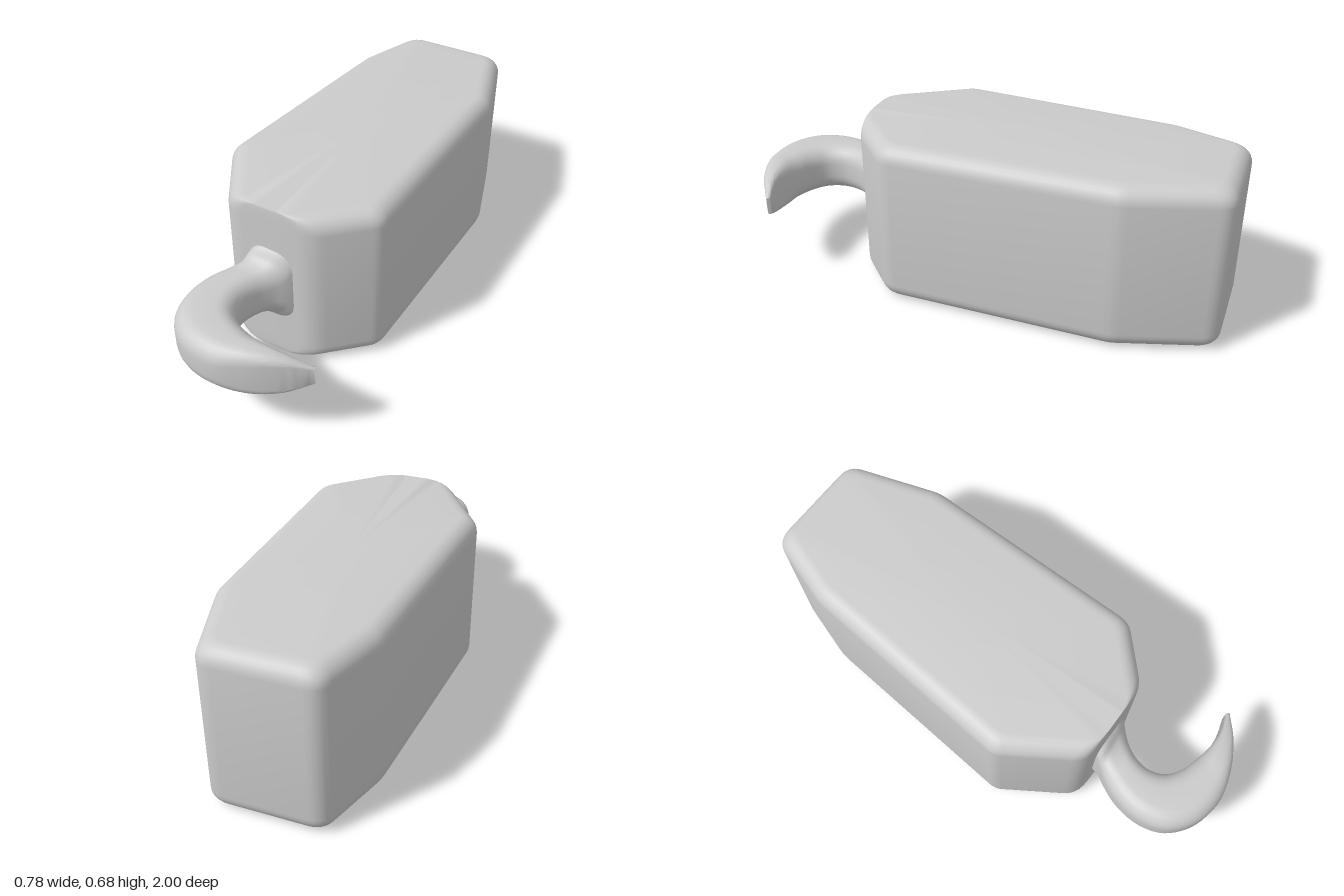
import * as THREE from 'three';
import { toCreasedNormals } from 'three/addons/utils/BufferGeometryUtils.js';

const material = new THREE.MeshStandardMaterial({ color: 0xcccccc });

// Skin a stack of equal-length rings and close both ends
function loft(name, rings, crease) {
  const n = rings[0].length, last = (rings.length - 1) * n, index = [];
  const points = rings.flat();
  const centre = ring => ring.reduce((s, p) => s.add(p), new THREE.Vector3()).divideScalar(n);
  const start = points.push(centre(rings[0])) - 1;
  const end = points.push(centre(rings[rings.length - 1])) - 1;
  for (let j = 0; j < n; j++) {
    const k = (j + 1) % n;
    for (let r = 0; r < last; r += n) {
      index.push(r + j, r + n + k, r + k, r + j, r + n + j, r + n + k);
    }
    index.push(start, j, k, end, last + k, last + j);
  }
  const geometry = new THREE.BufferGeometry().setFromPoints(points);
  geometry.setIndex(index);
  const mesh = new THREE.Mesh(toCreasedNormals(geometry, crease), material);
  mesh.name = name;
  return mesh;
}

// Body outline seen from above, as [x, z]
const outline = [
  [-0.155, -1.003], [0.285, -0.98], [0.39, -0.59], [0.336, 0.345],
  [0.13, 0.524], [-0.22, 0.506], [-0.395, 0.205], [-0.272, -0.7],
].map(([x, z]) => new THREE.Vector2(x, z));
const cornerLength = [0.06, 0.06, 0.03, 0.04, 0.06, 0.06, 0.03, 0.03];
const FRONT_EDGE = 4;

// Outline moved inwards on every edge but the front, with softened corners
function bodyRing(inset, y) {
  const n = outline.length, ring = [];
  const dirs = outline.map((p, i) => outline[(i + 1) % n].clone().sub(p).normalize());
  const insets = outline.map((_, i) => (i === FRONT_EDGE ? 0 : inset));
  outline.forEach((p, i) => {
    const h = (i + n - 1) % n, a = dirs[h], b = dirs[i];
    const det = a.x * b.y - a.y * b.x;
    const corner = p.clone()
      .addScaledVector(b, -insets[h] / det)
      .addScaledVector(a, insets[i] / det);
    // Moving along one edge changes only the distance to the other edge
    corner.copy(p).addScaledVector(b, insets[h] / det).addScaledVector(a, -insets[i] / det);
    const t = cornerLength[i] * (1 - 4 * inset);
    const curve = new THREE.QuadraticBezierCurve(
      corner.clone().addScaledVector(a, -t), corner, corner.clone().addScaledVector(b, t));
    curve.getPoints(6).forEach(q => ring.push(new THREE.Vector3(q.x, y, q.y)));
  });
  return ring;
}

function createBody() {
  const height = 0.684, radius = 0.07, steps = 7, lower = [], upper = [];
  for (let s = 0; s <= steps; s++) {
    const angle = (s / steps) * Math.PI / 2;
    const inset = radius * (1 - Math.sin(angle)), y = radius * (1 - Math.cos(angle));
    lower.push(bodyRing(inset, y));
    upper.unshift(bodyRing(inset, height - y));
  }
  return loft('body', [...lower, ...upper], 0.6);
}

// Hook stations: outer x, outer z, inner x, inner z, half height
const stations = [
  [-0.13, 0.5, 0.068, 0.5, 0.172],
  [-0.142, 0.525, 0.052, 0.522, 0.148],
  [-0.158, 0.55, 0.033, 0.545, 0.117],
  [-0.188, 0.592, 0.0, 0.58, 0.101],
  [-0.225, 0.67, -0.035, 0.635, 0.1],
  [-0.242, 0.78, -0.05, 0.7, 0.1],
  [-0.215, 0.885, -0.032, 0.765, 0.1],
  [-0.13, 0.966, 0.015, 0.808, 0.1],
  [0, 1.0, 0.08, 0.836, 0.1],
  [0.12, 0.975, 0.155, 0.858, 0.099],
  [0.235, 0.922, 0.24, 0.864, 0.079],
  [0.334, 0.856, 0.326, 0.845, 0.037],
];

// Rounded rectangle section swept along the hook and tapered to the tip
function createHook() {
  const midY = 0.342, steps = 60, rings = [];
  const spline = pick => new THREE.CatmullRomCurve3(stations.map(pick));
  const outer = spline(s => new THREE.Vector3(s[0], s[4], s[1]));
  const inner = spline(s => new THREE.Vector3(s[2], s[4], s[3]));
  for (let i = 0; i <= steps; i++) {
    const o = outer.getPoint(i / steps), q = inner.getPoint(i / steps);
    const half = o.y;
    o.y = q.y = midY;
    const middle = o.clone().add(q).multiplyScalar(0.5);
    const side = o.clone().sub(q);
    const halfWidth = side.length() / 2;
    side.normalize();
    const r = Math.min(0.07, halfWidth * 0.8, half * 0.8), ring = [];
    for (let c = 0; c < 4; c++) {
      const sx = c === 0 || c === 3 ? 1 : -1, sy = c < 2 ? 1 : -1;
      for (let k = 0; k <= 6; k++) {
        const angle = (c + k / 6) * Math.PI / 2;
        const p = middle.clone().addScaledVector(side, sx * (halfWidth - r) + r * Math.cos(angle));
        p.y += sy * (half - r) + r * Math.sin(angle);
        ring.push(p);
      }
    }
    rings.push(ring);
  }
  return loft('hook', rings, 0.7);
}

export function createModel() {
  const model = new THREE.Group();
  model.name = 'hookBlock';
  model.add(createBody(), createHook());
  return model;
}
